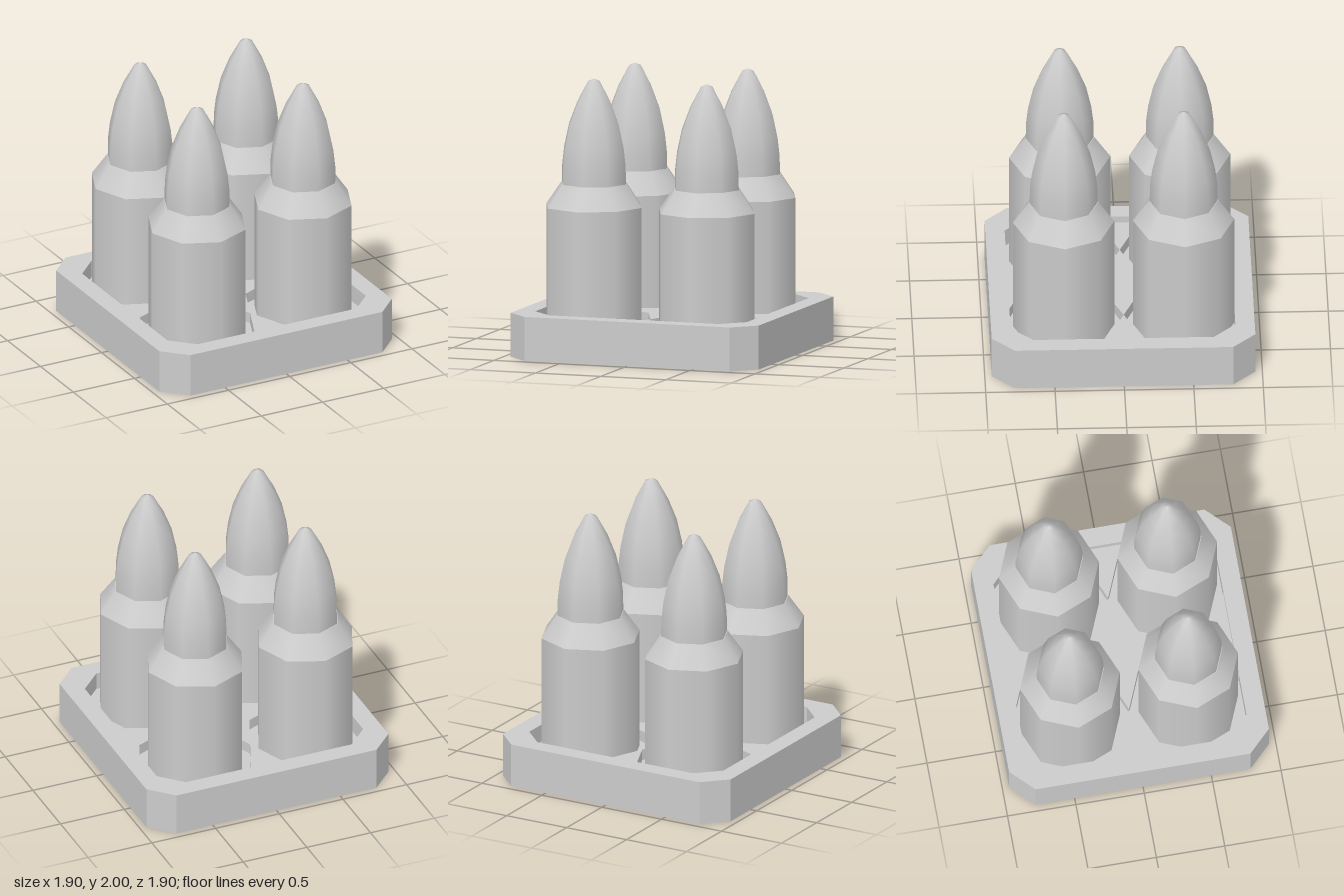
import * as THREE from 'three';

const material = new THREE.MeshStandardMaterial({ color: 0xcccccc, side: THREE.DoubleSide });

// Square outline with cut corners
function cutSquare(half, cut) {
  const a = half - cut;
  return [[half, -a], [half, a], [a, half], [-a, half], [-half, a], [-half, -a], [-a, -half], [a, -half]]
    .map(([x, y]) => new THREE.Vector2(x, y));
}

// Horizontal slab from an outline, between two heights
function slab(name, points, y0, y1, hole) {
  const shape = new THREE.Shape(points);
  if (hole) shape.holes.push(new THREE.Path(hole));
  const geo = new THREE.ExtrudeGeometry(shape, { depth: y1 - y0, bevelEnabled: false });
  geo.rotateX(-Math.PI / 2).translate(0, y0, 0);
  const mesh = new THREE.Mesh(geo, material);
  mesh.name = name;
  return mesh;
}

// Eight-sided turned part
function turned(name, profile) {
  const points = profile.map(([r, y]) => new THREE.Vector2(r, y));
  const mesh = new THREE.Mesh(new THREE.LatheGeometry(points, 8), material);
  mesh.name = name;
  return mesh;
}

const FLOOR = 0.19, LAND = 0.27, RIM = 0.32;
const MID = -0.0125, PITCH = 0.4325; // centre of the four rounds, and their offset from it

function createRound() {
  const round = new THREE.Group();
  round.name = 'cartridge';
  round.add(
    turned('caseBody', [[0.365, FLOOR], [0.365, 1.075]]),
    turned('caseShoulder', [[0.365, 1.075], [0.25, 1.24]]),
    turned('caseMouth', [[0.25, 1.24], [0.235, 1.24]]),
    turned('bulletTip', [[0.245, 1.24], [0.243, 1.37], [0.228, 1.5], [0.19, 1.67],
      [0.127, 1.83], [0.045, 1.98], [0, 2]]),
  );
  return round;
}

export function createModel() {
  const model = new THREE.Group();
  model.name = 'cartridgeTray';

  // Tray: solid base and raised rim
  model.add(slab('trayBase', cutSquare(0.95, 0.165), 0, FLOOR));
  model.add(slab('trayRim', cutSquare(0.95, 0.165), FLOOR, RIM, cutSquare(0.81, 0.16)));

  // Lands left between the four octagonal sockets
  const lands = new THREE.Group();
  lands.name = 'socketLands';
  lands.position.set(MID, 0, MID);
  const d = PITCH * Math.SQRT1_2, n = PITCH - d;
  const star = [[PITCH, 0], [n, n], [0, PITCH], [-n, n], [-PITCH, 0], [-n, -n], [0, -PITCH], [n, -n]];
  lands.add(slab('centreLand', star.map(([x, y]) => new THREE.Vector2(x, y)), FLOOR, LAND));
  const side = [[0, PITCH], [n, PITCH + d], [0.349, 0.83], [-0.349, 0.83], [-n, PITCH + d]];
  for (let i = 0; i < 4; i++) {
    const land = slab('edgeLand', side.map(([x, y]) => new THREE.Vector2(x, y)), FLOOR, LAND);
    land.rotation.y = i * Math.PI / 2;
    lands.add(land);
  }
  model.add(lands);

  // Four upright rounds
  for (const sx of [-1, 1]) {
    for (const sz of [-1, 1]) {
      const round = createRound();
      round.position.set(MID + sx * PITCH, 0, MID + sz * PITCH);
      model.add(round);
    }
  }
  return model;
}
